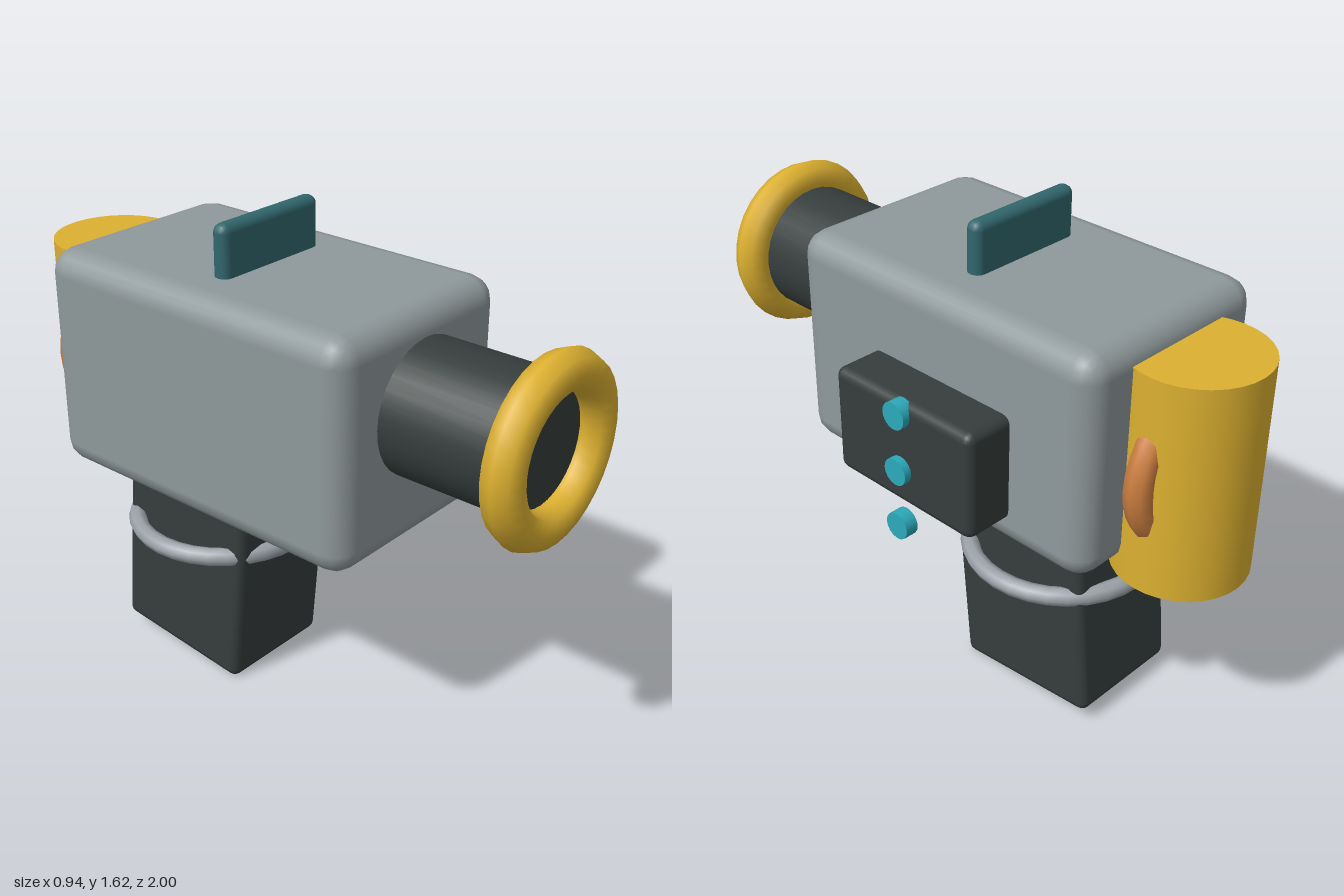
import * as THREE from 'three';
import { RoundedBoxGeometry } from 'three/addons/geometries/RoundedBoxGeometry.js';

const mat = (name, color) => {
  const m = new THREE.MeshStandardMaterial({ color });
  m.name = name;
  return m;
};

export function createModel() {
  const group = new THREE.Group();
  group.name = 'handheldDevice';
  const shell = mat('shellGrey', 0x8f999b);
  const metal = mat('ringGrey', 0x9aa1a7);
  const dark = mat('charcoal', 0x353d3c);
  const gold = mat('gold', 0xdcb030);
  const copper = mat('copper', 0xcc7f40);
  const teal = mat('darkTeal', 0x31676e);
  const cyan = mat('cyan', 0x2ca9ba);
  const cx = -0.095; // centre line of the main assembly

  const add = (name, geometry, material, x, y, z) => {
    const mesh = new THREE.Mesh(geometry, material);
    mesh.name = name;
    mesh.position.set(x, y, z);
    group.add(mesh);
    return mesh;
  };
  const box = (w, h, d, r, seg = 2) => new RoundedBoxGeometry(w, h, d, seg, r);

  // Main housing and top sight
  add('body', box(0.75, 0.745, 1.22, 0.08), shell, cx, 1.083, -0.105);
  add('topSight', box(0.425, 0.32, 0.06, 0.028), teal, cx, 1.46, -0.105);

  // Front barrel with a thick muzzle ring
  const barrel = new THREE.CylinderGeometry(0.215, 0.215, 0.5, 32).rotateX(Math.PI / 2);
  add('barrel', barrel, dark, cx, 1.155, 0.67);
  add('muzzleRing', new THREE.TorusGeometry(0.233, 0.063, 8, 32), gold, cx, 1.155, 0.937);

  // Upright rear canister and its copper coil
  add('rearCanister', new THREE.CylinderGeometry(0.215, 0.215, 0.715, 32), gold, cx, 1.028, -0.785);
  add('rearCoil', new THREE.TorusGeometry(0.23, 0.045, 8, 32), copper, cx, 1.028, -0.785);

  // Raked grip with a level collar
  const grip = add('grip', box(0.425, 0.8, 0.535, 0.03), dark, cx, 0.422, -0.317);
  grip.rotation.x = 0.095;
  const collar = new THREE.TorusGeometry(0.303, 0.031, 8, 32).rotateX(Math.PI / 2);
  add('gripCollar', collar, metal, cx, 0.491, -0.317);

  // Side panel and column of buttons
  add('sidePanel', box(0.19, 0.36, 0.575, 0.03), dark, 0.348, 0.995, -0.137);
  for (const y of [1.135, 0.94, 0.742]) {
    const button = new THREE.CylinderGeometry(0.045, 0.045, 0.045, 16).rotateZ(Math.PI / 2);
    add('button', button, cyan, 0.445, y, -0.137);
  }
  return group;
}
